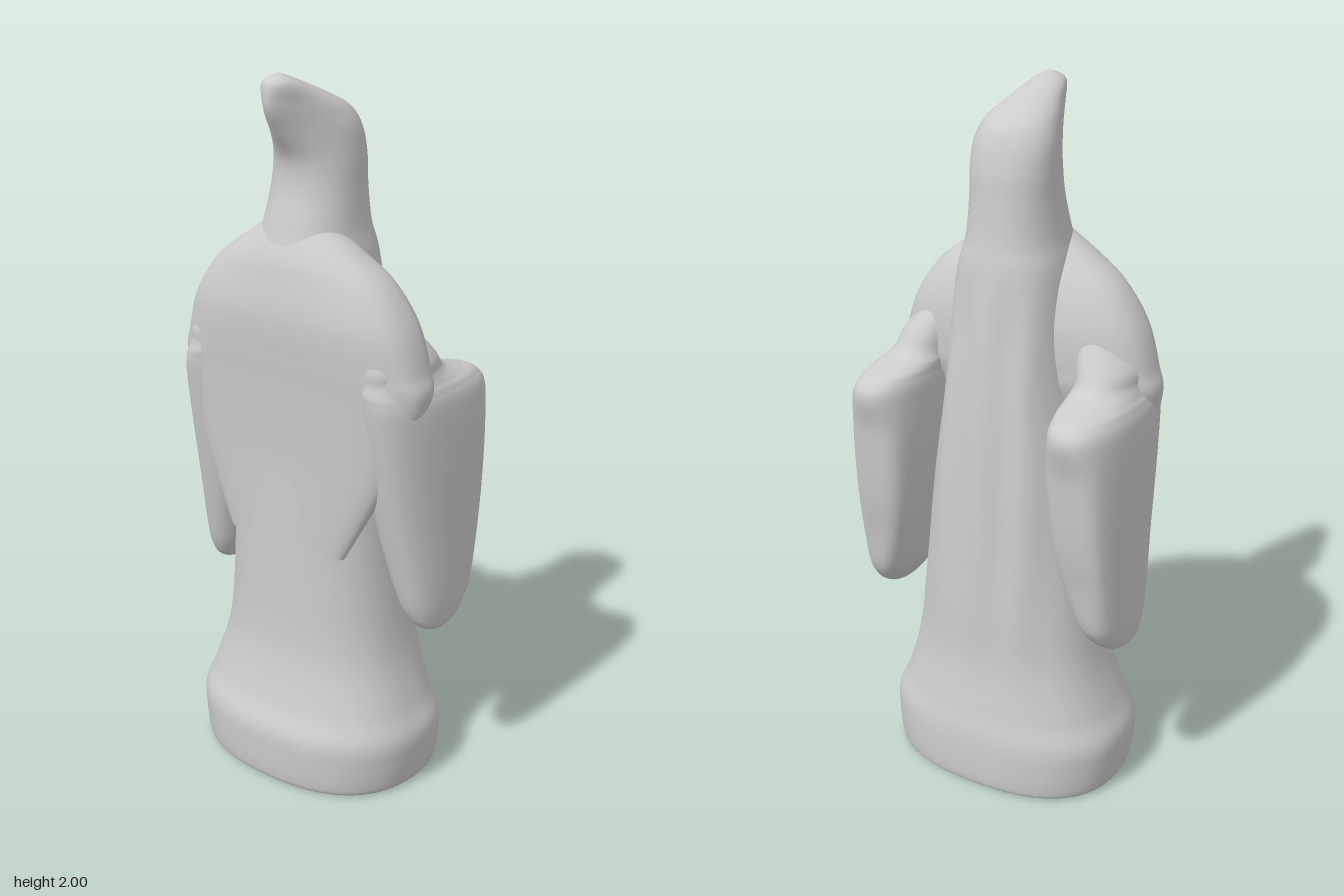
import * as THREE from 'three';

const SEG = 72, SUB = 8;

// Catmull-Rom blend of whole section rows
function smoothRows(rows) {
  const out = [];
  for (let i = 0; i < rows.length - 1; i++) {
    const a = rows[Math.max(i - 1, 0)], b = rows[i], c = rows[i + 1], d = rows[Math.min(i + 2, rows.length - 1)];
    for (let s = 0; s < SUB; s++) {
      const t = s / SUB;
      out.push(b.map((v, k) => v + 0.5 * t * (c[k] - a[k]
        + t * (2 * a[k] - 5 * v + 4 * c[k] - d[k] + t * (3 * (v - c[k]) + d[k] - a[k])))));
    }
  }
  out.push(rows[rows.length - 1]);
  return out;
}

// Stacks rounded sections: [y, xBack, xFront, zHalf, squareness, widening toward the back, zCentre]
function loft(name, rows, side = 1, detail = () => 0) {
  const rings = smoothRows(rows), pos = [], idx = [];
  for (const [y, x0, x1, hz, n, k = 0, zc = 0] of rings) {
    for (let j = 0; j < SEG; j++) {
      const t = (j / SEG) * Math.PI * 2, c = Math.cos(t), s = Math.sin(t);
      const cx = Math.sign(c) * Math.abs(c) ** (2 / n), sz = Math.sign(s) * Math.abs(s) ** (2 / n);
      const z = hz * sz * (1 - k * cx);
      pos.push((x0 + x1) / 2 + (x1 - x0) / 2 * cx + detail(y, z, cx, sz), y, side * zc + z);
    }
  }
  for (let i = 0; i < rings.length - 1; i++) {
    for (let j = 0; j < SEG; j++) {
      const a = i * SEG + j, b = i * SEG + (j + 1) % SEG;
      idx.push(a, a + SEG, b, b, a + SEG, b + SEG);
    }
  }
  // End caps with their own vertices
  for (const top of [false, true]) {
    const r = top ? rings.length - 1 : 0, [y, x0, x1, , , , zc = 0] = rings[r], base = pos.length / 3;
    pos.push(...pos.slice(r * SEG * 3, (r + 1) * SEG * 3), (x0 + x1) / 2, y, side * zc);
    for (let j = 0; j < SEG; j++) {
      const a = base + j, b = base + (j + 1) % SEG;
      idx.push(base + SEG, top ? b : a, top ? a : b);
    }
  }
  const geo = new THREE.BufferGeometry();
  geo.setAttribute('position', new THREE.Float32BufferAttribute(pos, 3));
  geo.setIndex(idx);
  geo.computeVertexNormals();
  const mesh = new THREE.Mesh(geo, new THREE.MeshStandardMaterial({ color: 0xcccccc }));
  mesh.name = name;
  return mesh;
}

const fadeBetween = (y, a, b, c, d) =>
  THREE.MathUtils.smoothstep(y, a, b) * (1 - THREE.MathUtils.smoothstep(y, c, d));

export function createModel() {
  const group = new THREE.Group();
  group.name = 'robedFigure';

  // Robe and hood in one sweep, with the hood tip leaning back
  const robe = [
    [0.005, -0.26, 0.24, 0.335, 2.4, -0.03],
    [0.02, -0.277, 0.253, 0.352, 2.4, -0.03],
    [0.10, -0.283, 0.255, 0.365, 2.4, -0.03],
    [0.17, -0.28, 0.25, 0.365, 2.4, -0.03],
    [0.25, -0.247, 0.234, 0.332, 2.4, 0],
    [0.40, -0.212, 0.213, 0.287, 2.4, 0],
    [0.60, -0.203, 0.212, 0.262, 2.4, 0.03],
    [0.90, -0.2, 0.202, 0.235, 2.5, 0.1],
    [1.20, -0.2, 0.18, 0.19, 2.8, 0.15],
    [1.50, -0.19, 0.142, 0.152, 2.6, 0],
    [1.60, -0.17, 0.125, 0.132, 2.3, 0],
    [1.70, -0.143, 0.113, 0.121, 2.2, -0.03],
    [1.78, -0.145, 0.105, 0.117, 2.1, -0.15],
    [1.85, -0.187, 0.088, 0.105, 2, -0.4],
    [1.90, -0.217, 0.06, 0.088, 2, -0.45],
    [1.935, -0.226, 0, 0.07, 2, -0.35],
    [1.98, -0.22, -0.11, 0.043, 2, 0],
    [2.0, -0.185, -0.165, 0.01, 2, 0],
  ];
  // Soft vertical folds down the front, deepest beside the chest panel
  const folds = (y, z, cx) => {
    const fade = fadeBetween(y, 0.25, 0.8, 1.35, 1.58);
    return cx > 0 ? 0.008 * fade * cx ** 2 * (Math.cos(z * 45) - 0.7) : 0;
  };
  group.add(loft('robeAndHood', robe, 1, folds));

  // Sloping shoulders and upper arms, blending into the back
  const shoulders = [
    [0.72, -0.195, -0.12, 0.2, 2.4],
    [0.95, -0.2, -0.05, 0.315, 2.4],
    [1.18, -0.21, 0.05, 0.4, 2.4],
    [1.27, -0.217, 0.067, 0.387, 2.5],
    [1.38, -0.222, 0.066, 0.35, 2.5],
    [1.48, -0.208, 0.043, 0.283, 2.3],
    [1.545, -0.19, 0.01, 0.2, 2.2],
    [1.62, -0.15, -0.04, 0.09, 2],
  ];
  group.add(loft('shoulders', shoulders));

  // Wide hanging sleeves, rising into the upper arms
  const sleeve = [
    [0.492, 0.02, 0.06, 0.012, 2.2, 0, 0.375],
    [0.512, -0.025, 0.115, 0.034, 2.3, 0, 0.37],
    [0.55, -0.057, 0.163, 0.052, 2.4, 0, 0.36],
    [0.62, -0.082, 0.204, 0.068, 2.5, 0, 0.348],
    [0.80, -0.122, 0.248, 0.09, 2.6, -0.04, 0.325],
    [1.00, -0.16, 0.272, 0.1, 2.6, -0.05, 0.314],
    [1.15, -0.185, 0.279, 0.098, 2.5, -0.03, 0.31],
    [1.20, -0.19, 0.25, 0.09, 2.4, 0, 0.305],
    [1.22, -0.19, 0.19, 0.085, 2.3, 0, 0.298],
    [1.245, -0.185, 0.115, 0.083, 2.2, 0, 0.29],
    [1.30, -0.18, 0.075, 0.083, 2.2, 0, 0.273],
    [1.42, -0.12, 0, 0.04, 2, 0, 0.2],
  ];
  // Shallow hollow in the sleeve opening
  const hollow = (y, z, cx, sz) => {
    const fade = fadeBetween(y, 0.52, 0.75, 1.05, 1.18);
    return cx > 0 ? -0.022 * fade * Math.max(0, 1 - (sz / 0.75) ** 2) : 0;
  };
  for (const side of [1, -1]) {
    group.add(loft(side > 0 ? 'frontSleeve' : 'rearSleeve', sleeve, side, hollow));
  }
  return group;
}
